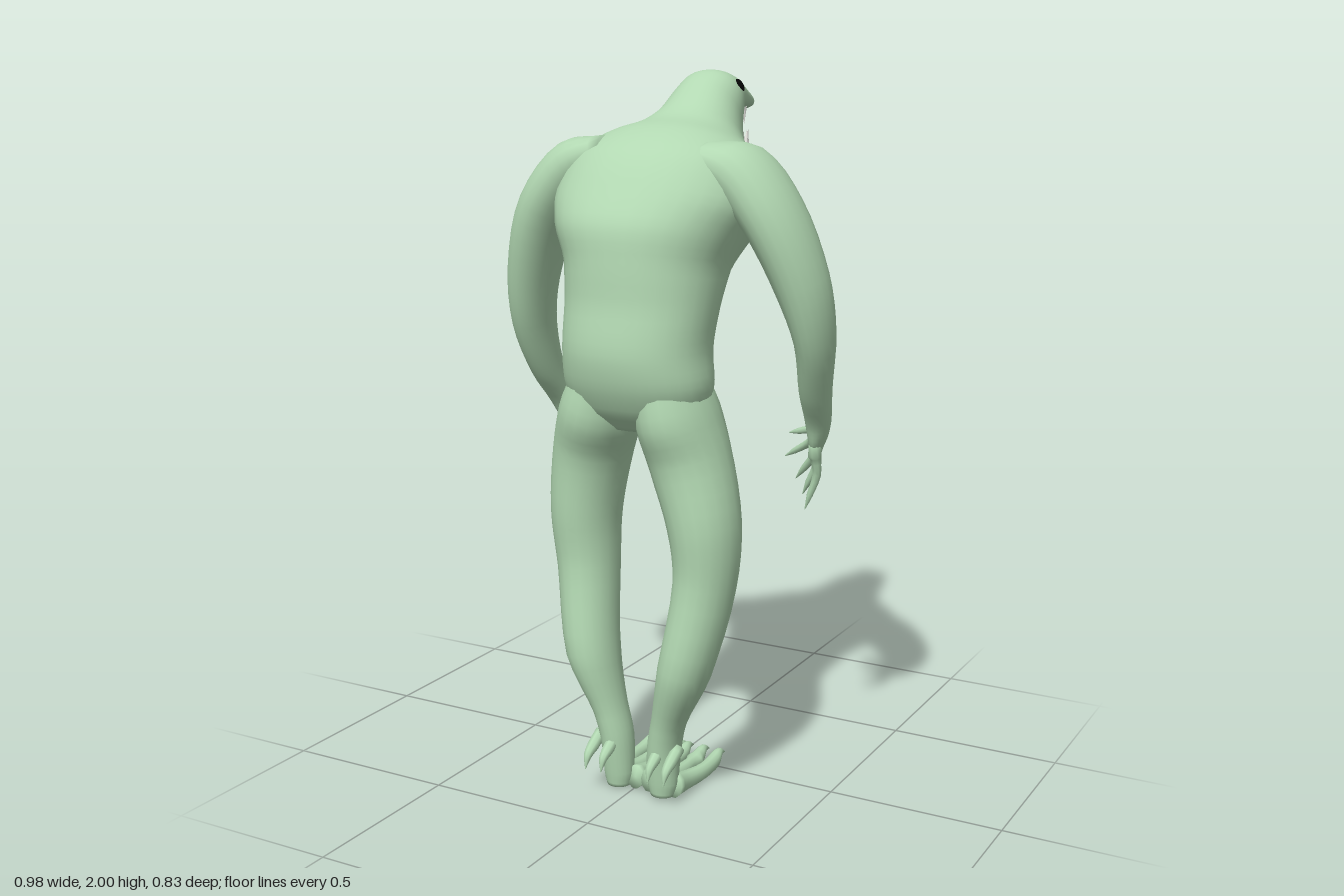
import * as THREE from 'three';

const skinMat = new THREE.MeshStandardMaterial({ color: 0xb2d8b2 });
skinMat.name = 'pale green skin';
const eyeMat = new THREE.MeshStandardMaterial({ color: 0x050505 });
eyeMat.name = 'black eye';
const toothMat = new THREE.MeshStandardMaterial({ color: 0xe6e6e0 });
toothMat.name = 'ivory tooth';

const V = (x, y, z) => new THREE.Vector3(x, y, z);

// Smooth closed skin through oval rings {c: centre, u, v: half axes}
function skin(name, rings, steps = 4, sides = 24, power = 1) {
  const [C, U, W] = ['c', 'u', 'v'].map(k => new THREE.CatmullRomCurve3(rings.map(r => r[k])));
  const n = (rings.length - 1) * steps;
  const pos = [], idx = [];
  const soft = s => Math.sign(s) * Math.abs(s) ** power;
  for (let i = -1; i <= n + 1; i++) {
    const t = Math.min(Math.max(i / n, 0), 1);
    const k = i < 0 || i > n ? 0.001 : 1;
    const c = C.getPoint(t), u = U.getPoint(t), w = W.getPoint(t);
    for (let j = 0; j < sides; j++) {
      const a = j / sides * Math.PI * 2;
      const p = c.clone().addScaledVector(u, k * soft(Math.cos(a))).addScaledVector(w, k * soft(Math.sin(a)));
      pos.push(p.x, p.y, p.z);
    }
  }
  for (let i = 0; i < n + 2; i++) {
    for (let j = 0; j < sides; j++) {
      const a = i * sides + j, b = i * sides + (j + 1) % sides;
      idx.push(a, b, a + sides, b, b + sides, a + sides);
    }
  }
  const g = new THREE.BufferGeometry();
  g.setAttribute('position', new THREE.Float32BufferAttribute(pos, 3));
  g.setIndex(idx);
  g.computeVertexNormals();
  const m = new THREE.Mesh(g, skinMat);
  m.name = name;
  return m;
}

// Limb through points [x, y, z, half width, half depth], rings square to the path
function limb(name, pts, steps = 4, sides = 16) {
  const P = pts.map(p => V(p[0], p[1], p[2]));
  const rings = pts.map((p, i) => {
    const t = P[Math.min(i + 1, P.length - 1)].clone().sub(P[Math.max(i - 1, 0)]).normalize();
    const u = V(1, 0, 0).addScaledVector(t, -t.x).normalize();
    const v = t.clone().cross(u);
    return { c: P[i], u: u.multiplyScalar(p[3]), v: v.multiplyScalar(p[4] ?? p[3]) };
  });
  return skin(name, rings, steps, sides);
}

// Body ring from its back point, throat-side point, half width and x offset
const slice = ([yb, zb, yf, zf, hw, x = 0]) => ({
  c: V(x, (yb + yf) / 2, (zb + zf) / 2),
  u: V(hw, 0, 0),
  v: V(0, (yf - yb) / 2, (zf - zb) / 2),
});

// Curved finger with a pointed claw
function finger(name, from, to, r) {
  const mid = from.clone().lerp(to, 0.5).add(V(Math.sign(from.x) * 0.018, 0.005, -0.012));
  const near = from.clone().lerp(mid, 0.5), far = mid.clone().lerp(to, 0.6);
  return limb(name, [[...from, r], [...near, r], [...mid, r * 0.85], [...far, r * 0.6], [...to, 0.001]], 3, 8);
}

export function createModel() {
  const model = new THREE.Group();
  model.name = 'hunched creature';

  // Torso, neck, head and upper jaw in one skin
  model.add(skin('bodyAndHead', [
    [1.06, 0.31, 1.08, 0.13, 0.13, 0.02],
    [1.11, 0.365, 1.12, 0.10, 0.19, 0.02],
    [1.19, 0.405, 1.20, 0.085, 0.21, 0.02],
    [1.28, 0.42, 1.28, 0.065, 0.205, 0.015],
    [1.40, 0.402, 1.38, 0.03, 0.21, 0.015],
    [1.52, 0.395, 1.46, -0.04, 0.22, 0.01],
    [1.62, 0.38, 1.52, -0.11, 0.26],
    [1.71, 0.32, 1.59, -0.17, 0.295],
    [1.80, 0.24, 1.64, -0.195, 0.29],
    [1.855, 0.13, 1.68, -0.205, 0.24],
    [1.88, 0.02, 1.71, -0.215, 0.17],
    [1.915, -0.05, 1.74, -0.23, 0.13],
    [1.97, -0.12, 1.78, -0.24, 0.108],
    [1.998, -0.18, 1.83, -0.25, 0.098],
    [1.995, -0.235, 1.87, -0.265, 0.084],
    [1.965, -0.31, 1.885, -0.315, 0.066],
    [1.935, -0.365, 1.885, -0.37, 0.056],
    [1.912, -0.388, 1.892, -0.388, 0.035],
  ].map(slice), 4, 32, 0.92));

  // Lower jaw
  model.add(skin('lowerJaw', [
    [1.85, -0.18, 1.73, -0.20, 0.085],
    [1.81, -0.25, 1.74, -0.255, 0.075],
    [1.787, -0.30, 1.752, -0.30, 0.06],
    [1.785, -0.36, 1.755, -0.36, 0.053],
    [1.79, -0.40, 1.765, -0.40, 0.036],
  ].map(slice), 4, 20));

  // Teeth around both jaws
  const teeth = new THREE.Group();
  teeth.name = 'teeth';
  for (const upper of [true, false]) {
    for (let i = 0; i <= 10; i++) {
      const a = i / 10 * Math.PI, s = Math.sin(a);
      const h = upper ? 0.065 - 0.022 * s : 0.05;
      const tooth = new THREE.Mesh(new THREE.ConeGeometry(0.008, h, 8), toothMat);
      tooth.name = upper ? 'upperTooth' : 'lowerTooth';
      tooth.position.set(0.05 * Math.cos(a), upper ? 1.895 - h / 2 : 1.778 + h / 2, -0.275 - (upper ? 0.1 : 0.128) * s);
      if (upper) tooth.rotation.x = Math.PI;
      else tooth.rotation.x = -0.25 * s;
      teeth.add(tooth);
    }
  }
  model.add(teeth);

  // Eyes
  for (const s of [1, -1]) {
    const eye = new THREE.Mesh(new THREE.SphereGeometry(1, 20, 12), eyeMat);
    eye.name = s > 0 ? 'leftEye' : 'rightEye';
    eye.scale.set(0.011, 0.019, 0.028);
    eye.position.set(s * 0.078, 1.955, -0.228);
    eye.rotation.set(-0.3, s * 0.2, s * 0.5);
    model.add(eye);
  }

  // Arms with clawed hands
  const arms = [
    { side: 'left',
      path: [[0.13, 1.76, 0.08, 0.06, 0.12], [0.24, 1.735, 0.085, 0.085, 0.125], [0.335, 1.63, 0.085, 0.08, 0.115],
        [0.41, 1.45, 0.055, 0.07, 0.095], [0.432, 1.30, 0.015, 0.052, 0.08], [0.41, 1.15, -0.045, 0.044, 0.058],
        [0.395, 1.05, -0.10, 0.036, 0.042], [0.385, 1.00, -0.125, 0.026, 0.045], [0.375, 0.96, -0.145, 0.014, 0.035]],
      palm: [0.382, 1.0, -0.13],
      tips: [[0.345, 0.78, -0.13], [0.315, 0.81, -0.18], [0.27, 0.84, -0.23], [0.23, 0.90, -0.24], [0.24, 0.97, -0.245]] },
    { side: 'right',
      path: [[-0.13, 1.76, 0.09, 0.06, 0.12], [-0.24, 1.735, 0.10, 0.085, 0.125], [-0.34, 1.63, 0.11, 0.08, 0.115],
        [-0.41, 1.45, 0.09, 0.07, 0.095], [-0.438, 1.30, 0.055, 0.058, 0.08], [-0.44, 1.15, -0.01, 0.044, 0.058],
        [-0.435, 1.05, -0.08, 0.036, 0.042], [-0.43, 1.00, -0.115, 0.026, 0.045], [-0.42, 0.96, -0.14, 0.014, 0.035]],
      palm: [-0.427, 1.0, -0.12],
      tips: [[-0.41, 0.81, -0.14], [-0.38, 0.83, -0.20], [-0.34, 0.87, -0.25], [-0.305, 0.90, -0.27], [-0.33, 0.96, -0.25]] },
  ];
  for (const { side, path, palm, tips } of arms) {
    const arm = new THREE.Group();
    arm.name = side + 'Arm';
    arm.add(limb('armAndPalm', path, 4, 20));
    tips.forEach((tip, i) => {
      const base = V(palm[0], palm[1] + (i - 2) * 0.007, palm[2] - (i - 2) * 0.014);
      arm.add(finger('clawedFinger', base, V(...tip), 0.015));
    });
    model.add(arm);
  }

  // Legs with long-toed feet
  const legs = [
    { side: 'left', toes: [0.05, 0.09, 0.13], spur: 0.125,
      path: [[0.11, 1.22, 0.25, 0.08, 0.12], [0.135, 1.10, 0.235, 0.105, 0.145], [0.165, 0.98, 0.22, 0.11, 0.125],
        [0.213, 0.80, 0.228, 0.098, 0.113], [0.217, 0.64, 0.235, 0.085, 0.098], [0.175, 0.40, 0.27, 0.072, 0.09],
        [0.12, 0.24, 0.258, 0.048, 0.06], [0.10, 0.15, 0.25, 0.047, 0.055], [0.095, 0.05, 0.25, 0.045, 0.042], [0.095, 0.01, 0.25, 0.035, 0.035]] },
    { side: 'right', toes: [-0.07, -0.035, 0.005], spur: -0.075,
      path: [[-0.07, 1.22, 0.25, 0.08, 0.12], [-0.10, 1.10, 0.235, 0.11, 0.145], [-0.142, 0.98, 0.215, 0.108, 0.125],
        [-0.167, 0.80, 0.215, 0.096, 0.113], [-0.158, 0.64, 0.22, 0.085, 0.098], [-0.125, 0.40, 0.255, 0.072, 0.09],
        [-0.075, 0.24, 0.25, 0.046, 0.06], [-0.055, 0.15, 0.245, 0.045, 0.055], [-0.05, 0.05, 0.245, 0.043, 0.042], [-0.05, 0.01, 0.245, 0.035, 0.035]] },
  ];
  for (const { side, path, toes, spur } of legs) {
    const leg = new THREE.Group();
    leg.name = side + 'Leg';
    leg.add(limb('legAndHeel', path, 4, 20));
    toes.forEach((x, i) => {
      const splay = (i - 1) * 0.012;
      leg.add(limb('clawedToe', [[x, 0.04, 0.25, 0.026, 0.035], [x, 0.03, 0.18, 0.024, 0.028], [x + splay, 0.028, 0.10, 0.02, 0.024],
        [x + splay, 0.034, 0.03, 0.02, 0.022], [x + splay, 0.048, -0.005, 0.012, 0.012], [x + splay, 0.035, -0.04, 0.001]], 3, 10));
    });
    // Hind spurs above the heel
    for (const dx of [-0.025, 0.025]) {
      leg.add(limb('hindSpur', [[spur + dx, 0.16, 0.26, 0.018], [spur + dx, 0.135, 0.305, 0.017],
        [spur + dx, 0.115, 0.335, 0.012], [spur + dx, 0.08, 0.348, 0.001]], 3, 8));
    }
    model.add(leg);
  }

  return model;
}
